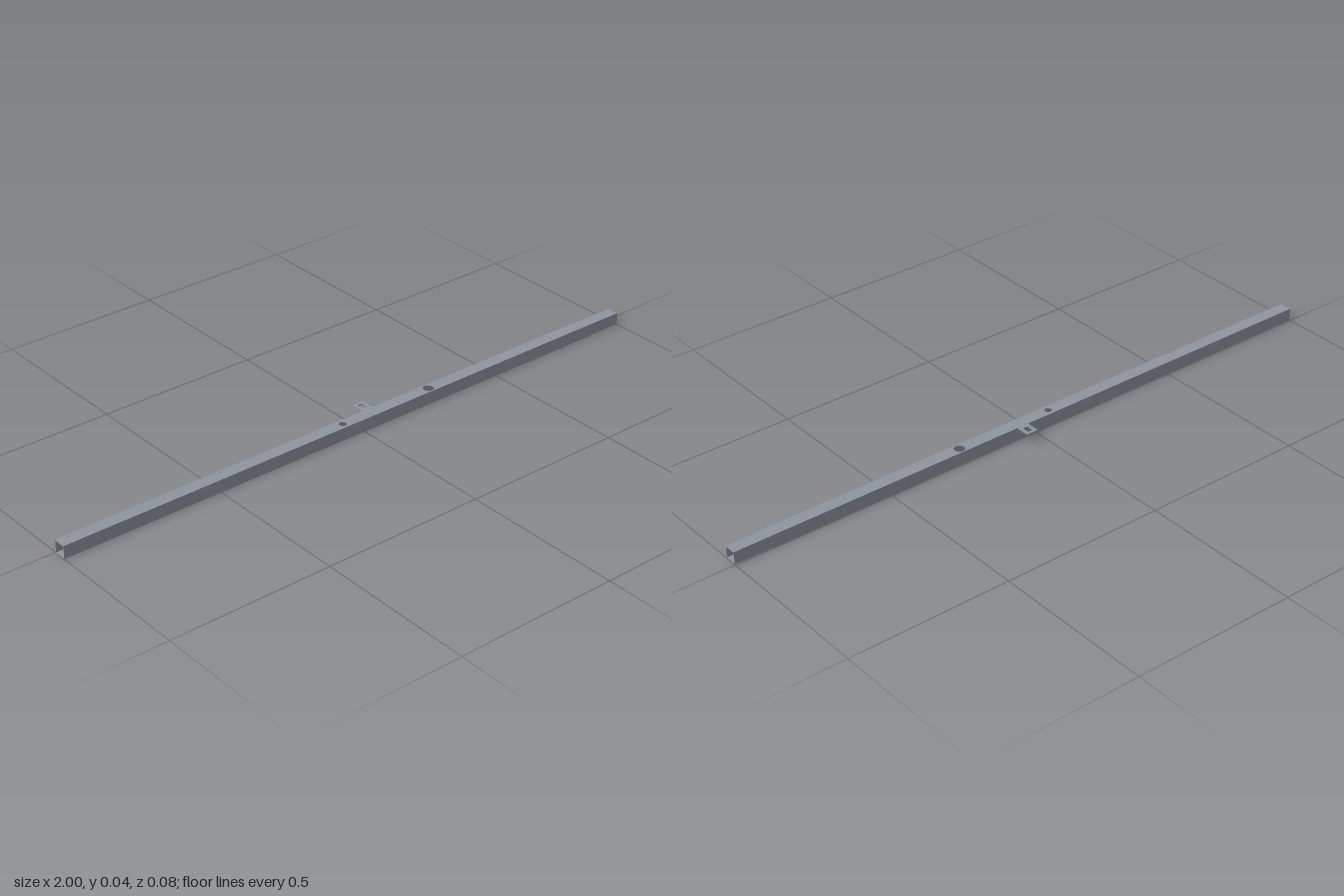
import * as THREE from 'three';

const SIZE = 0.0394, WALL = 0.0018, CY = SIZE / 2, CZ = 0.041 - SIZE / 2;
const BEND = 0.88, STEP = 0.89, SHRINK = 0.94;
const mat = new THREE.MeshStandardMaterial({ color: 0x8f959f, side: THREE.DoubleSide });

function rect(T, x0, y0, x1, y1) {
  const s = new T();
  s.moveTo(x0, y0); s.lineTo(x1, y0); s.lineTo(x1, y1); s.lineTo(x0, y1); s.closePath();
  return s;
}

function extrude(shape, depth) {
  return new THREE.ExtrudeGeometry(shape, { depth, bevelEnabled: false, curveSegments: 24 });
}

function add(group, name, geometry) {
  const mesh = new THREE.Mesh(geometry, mat);
  mesh.name = name;
  group.add(mesh);
  return mesh;
}

// Horizontal plate with round holes given as [x, radius]
function plate(holes) {
  const s = rect(THREE.Shape, -1, -SIZE / 2, BEND, SIZE / 2);
  for (const [x, r] of holes) {
    const h = new THREE.Path();
    h.absarc(x, 0, r, 0, Math.PI * 2, true);
    s.holes.push(h);
  }
  return extrude(s, WALL).rotateX(-Math.PI / 2);
}

// Wall running through the given x stations, drawn in towards the axis past STEP
function wall(stations, h, d, y, z) {
  const n = stations.length - 1;
  const g = new THREE.BoxGeometry(n, h, d, n, 1, 1).translate(0, y, z);
  const p = g.attributes.position;
  for (let i = 0; i < p.count; i++) {
    const x = stations[Math.round(p.getX(i) + n / 2)];
    const k = x >= STEP ? SHRINK : 1;
    p.setXYZ(i, x, p.getY(i) * k, p.getZ(i) * k);
  }
  return g;
}

export function createModel() {
  const group = new THREE.Group();
  group.name = 'squareTubeRail';

  // Drilled top and bottom walls
  add(group, 'topWall', plate([[-0.062, 0.011], [0.254, 0.016]])).position.set(0, SIZE - WALL, CZ);
  add(group, 'bottomWall', plate([[-0.062, 0.011], [0.254, 0.01]])).position.set(0, 0, CZ);

  // Front and back walls, and the narrowed left end of the top and bottom
  const off = (SIZE - WALL) / 2;
  for (const [side, upright, flat] of [[1, 'frontWall', 'topEnd'], [-1, 'backWall', 'bottomEnd']]) {
    add(group, upright, wall([-1, BEND, STEP, 1], SIZE - 2 * WALL, WALL, 0, side * off))
      .position.set(0, CY, CZ);
    add(group, flat, wall([BEND, STEP, 1], WALL, SIZE, side * off, 0)).position.set(0, CY, CZ);
  }

  // Round bushing inside the tube
  const disc = new THREE.Shape();
  disc.absarc(0, 0, SIZE / 2 - WALL, 0, Math.PI * 2, false);
  const bore = new THREE.Path();
  bore.absarc(0, 0, 0.008, 0, Math.PI * 2, true);
  disc.holes.push(bore);
  add(group, 'innerBushing', extrude(disc, 0.02).rotateY(Math.PI / 2)).position.set(0.6, CY, CZ);

  // Thin tab with a rectangular slot, flush with the top
  const tab = rect(THREE.Shape, 0.027, -0.003, 0.063, 0.041);
  tab.holes.push(rect(THREE.Path, 0.036, 0.009, 0.054, 0.032));
  add(group, 'rearTab', extrude(tab, 0.004).rotateX(-Math.PI / 2)).position.set(0, SIZE - 0.0042, 0);

  return group;
}
